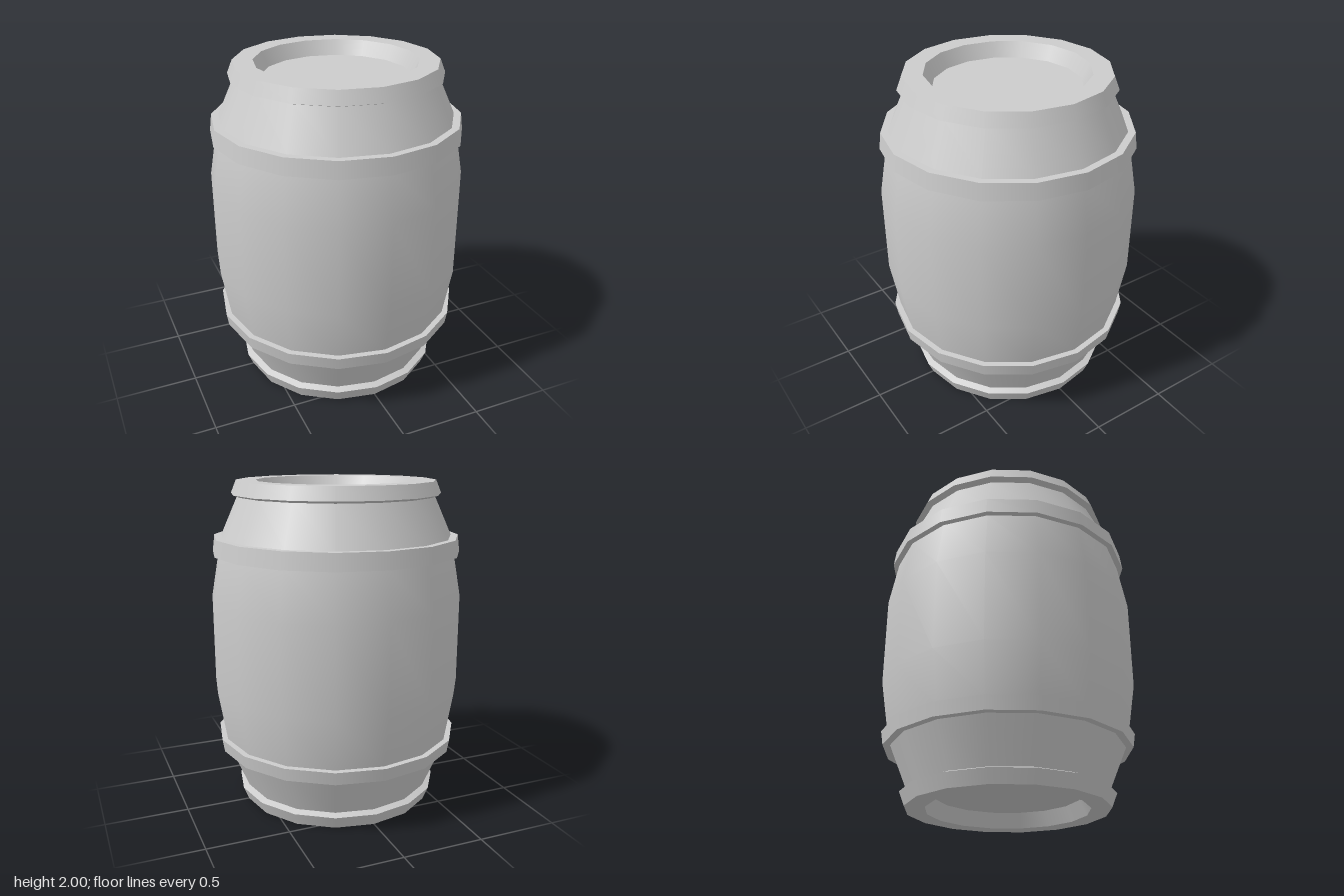
import * as THREE from 'three';
import { mergeGeometries } from 'three/addons/utils/BufferGeometryUtils.js';

const SIDES = 16;
const material = new THREE.MeshStandardMaterial({ color: 0xcccccc });

// Surface of revolution, smooth along its whole profile [radius, height]
function smoothRing(profile) {
  return new THREE.LatheGeometry(profile.map(([r, y]) => new THREE.Vector2(r, y)), SIDES);
}

// Surface of revolution with a sharp edge at every profile point
function creasedRing(profile) {
  return mergeGeometries(profile.slice(1).map((p, i) => smoothRing([profile[i], p])));
}

export function createModel() {
  const barrel = new THREE.Group();
  barrel.name = 'barrel';

  const add = (name, geometry) => {
    const mesh = new THREE.Mesh(geometry, material);
    mesh.name = name;
    barrel.add(mesh);
  };

  // Profiles run upwards along the outside so that faces point outwards

  // Recessed bottom lid and flared foot rim
  add('bottomLid', creasedRing([[0, 0.09], [0.44, 0.09]]));
  add('bottomRim', creasedRing([[0.44, 0.09], [0.485, 0], [0.605, 0], [0.637, 0.08], [0.598, 0.095]]));

  // Staves, in three runs between the hoops
  add('lowerStaves', smoothRing([[0.598, 0.095], [0.705, 0.35]]));
  add('middleStaves', smoothRing([[0.726, 0.43], [0.777, 0.738], [0.777, 1.287], [0.726, 1.57]]));
  add('upperStaves', smoothRing([[0.705, 1.67], [0.598, 1.908]]));

  // Raised hoops
  add('lowerHoop', creasedRing([[0.705, 0.35], [0.749, 0.35], [0.762, 0.43], [0.726, 0.43]]));
  add('upperHoop', creasedRing([[0.726, 1.57], [0.762, 1.57], [0.749, 1.67], [0.705, 1.67]]));

  // Top rim and recessed top lid
  add('topRim', creasedRing([[0.598, 1.908], [0.637, 1.922], [0.605, 2], [0.485, 2], [0.44, 1.91]]));
  add('topLid', creasedRing([[0.44, 1.91], [0, 1.91]]));

  return barrel;
}
